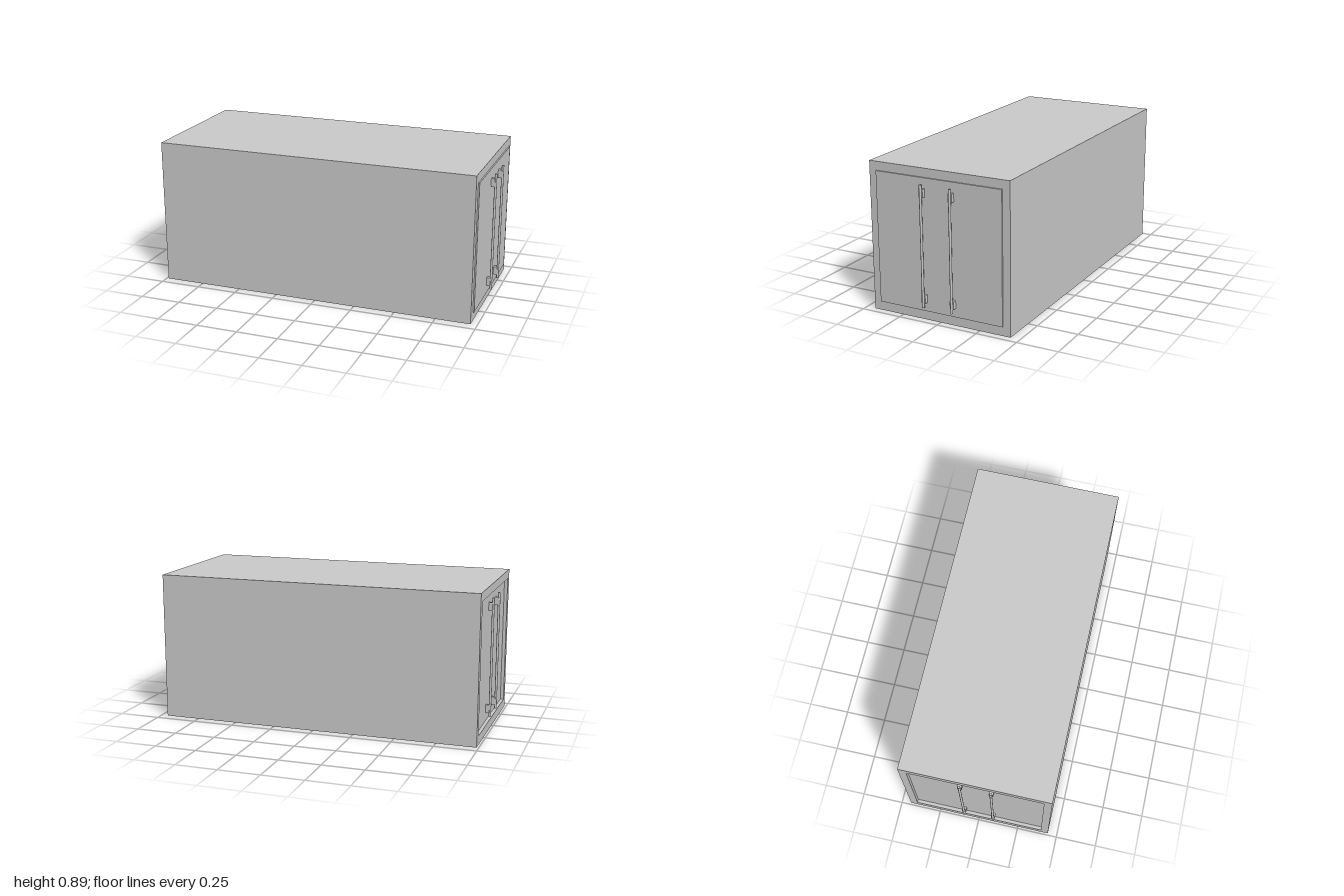
import * as THREE from 'three';

const H = 0.887, D = 0.886;              // container height and depth
const DOOR = { y0: 0.055, y1: 0.835, z: 0.397 };
const DOOR_X = 0.968;                    // door surface distance from centre

const material = new THREE.MeshStandardMaterial({ color: 0xcccccc });

function add(parent, name, geometry, x, y, z) {
  const mesh = new THREE.Mesh(geometry, material);
  mesh.name = name;
  mesh.position.set(x, y, z);
  parent.add(mesh);
  return mesh;
}

// box given by its x range, y range and z centre / width
function block(parent, name, x0, x1, y0, y1, z, width) {
  return add(parent, name, new THREE.BoxGeometry(x1 - x0, y1 - y0, width),
    (x0 + x1) / 2, (y0 + y1) / 2, z);
}

// two upright locking bars, each held by two brackets, facing +x
function lockingBars(name) {
  const group = new THREE.Group();
  group.name = name;
  for (const z of [-0.092, 0.092]) {
    add(group, 'lockingBar', new THREE.CylinderGeometry(0.0075, 0.0075, 0.717, 12), 0.9925, 0.442, z);
    for (const y of [0.132, 0.75]) {
      block(group, 'barBracket', DOOR_X - 0.004, 0.991, y - 0.024, y + 0.024, z, 0.025);
    }
  }
  return group;
}

export function createModel() {
  const model = new THREE.Group();
  model.name = 'shippingContainer';

  // main box; its -x face is the recessed door surface
  block(model, 'body', -DOOR_X, 0.96, 0, H, 0, D);

  // rim around the recessed doors
  const outline = new THREE.Shape([
    new THREE.Vector2(-D / 2, 0), new THREE.Vector2(D / 2, 0),
    new THREE.Vector2(D / 2, H), new THREE.Vector2(-D / 2, H),
  ]);
  outline.holes.push(new THREE.Path([
    new THREE.Vector2(-DOOR.z, DOOR.y0), new THREE.Vector2(-DOOR.z, DOOR.y1),
    new THREE.Vector2(DOOR.z, DOOR.y1), new THREE.Vector2(DOOR.z, DOOR.y0),
  ]));
  const rim = add(model, 'recessedDoorFrame',
    new THREE.ExtrudeGeometry(outline, { depth: 0.02, bevelEnabled: false }), -DOOR_X, 0, 0);
  rim.rotation.y = -Math.PI / 2;

  // raised door panel on the +x end
  block(model, 'raisedDoor', 0.95, DOOR_X, DOOR.y0, DOOR.y1, 0, DOOR.z * 2);

  // locking bars on both ends
  model.add(lockingBars('leftLockingBars'));
  const right = lockingBars('rightLockingBars');
  right.rotation.y = Math.PI;
  model.add(right);

  return model;
}
